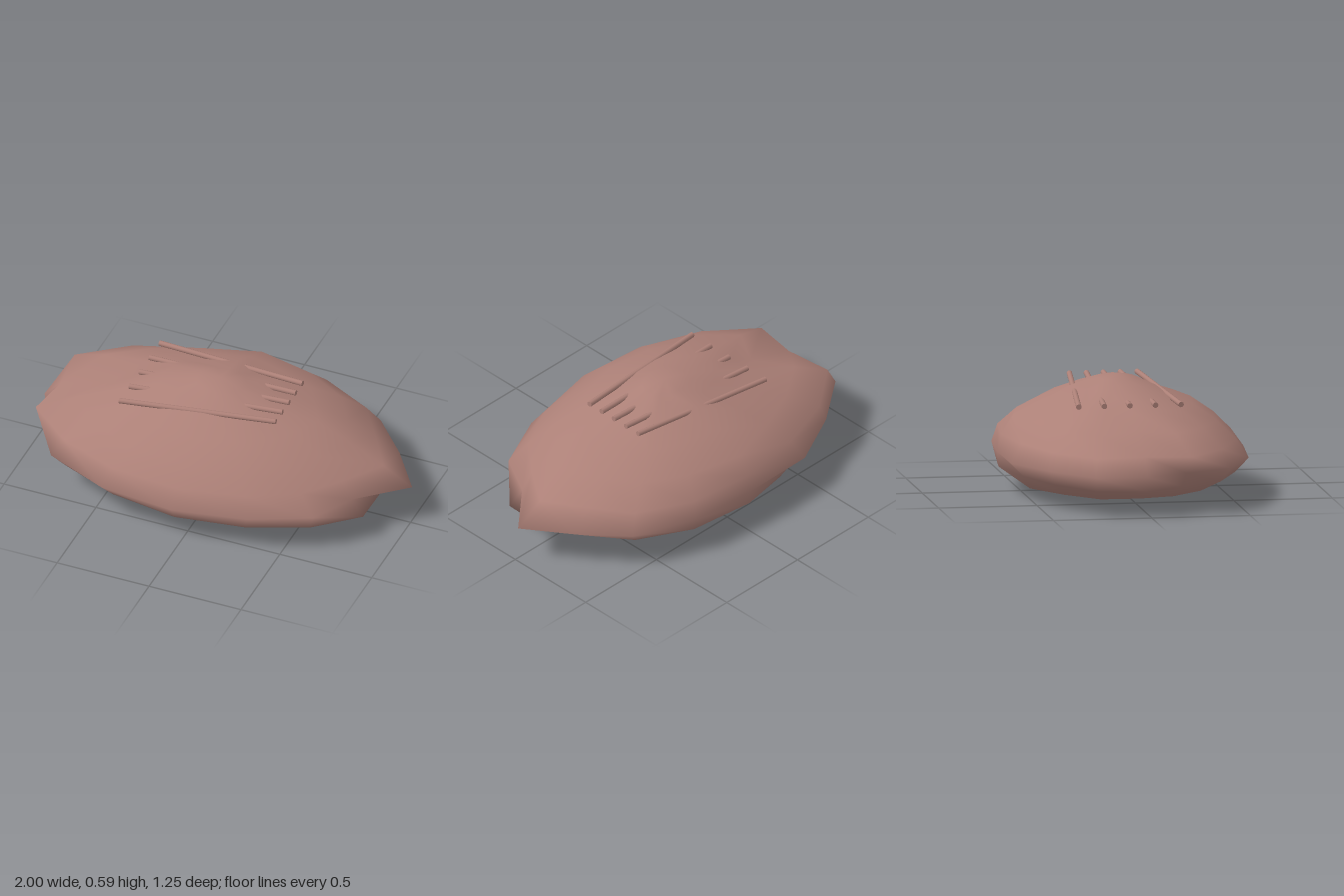
import * as THREE from 'three';

const stone = new THREE.MeshStandardMaterial({ color: 0xac8077 });
stone.name = 'dusty rose';

const POLE = [-0.04, -0.02];

// Widest outline seen from above, counterclockwise from the +x tip (x, z)
const OUTLINE = [
  [1, -0.02], [0.83, -0.26], [0.64, -0.47], [0.32, -0.595],
  [-0.04, -0.625], [-0.43, -0.62], [-0.73, -0.47], [-0.985, -0.28],
  [-1, -0.02], [-0.95, 0.21], [-0.77, 0.44], [-0.44, 0.585],
  [-0.04, 0.625], [0.34, 0.55], [0.64, 0.41], [0.83, 0.21],
];

// Rings from top to bottom: height, then share of the outline toward +x, -z, -x, +z
const RINGS = [
  [0.576, 0.14, 0.16, 0.13, 0.16],
  [0.535, 0.24, 0.41, 0.33, 0.29],
  [0.47, 0.51, 0.61, 0.52, 0.58],
  [0.39, 0.68, 0.87, 0.74, 0.76],
  [0.30, 0.85, 0.97, 0.95, 0.9],
  [0.21, 1, 1, 1, 1],
  [0.135, 0.84, 0.99, 0.99, 0.93],
  [0.07, 0.58, 0.83, 0.77, 0.7],
  [0.02, 0.28, 0.45, 0.28, 0.43],
];

// Local dents and bulges: outline point, then [ring, share] pairs
const DENTS = {
  2: [[3, 0.75]],
  3: [[1, 0.28], [2, 0.56], [3, 0.8]],
  5: [[1, 0.28], [2, 0.52], [3, 0.73], [4, 0.9], [6, 0.88]],
  6: [[1, 0.3], [2, 0.48], [3, 0.75], [6, 0.93]],
  7: [[1, 0.3], [2, 0.49], [6, 0.95]],
  8: [[2, 0.49], [3, 0.63], [4, 0.91]],
  9: [[3, 0.78], [4, 1], [5, 0.93], [6, 0.87]],
  10: [[6, 0.91]],
  11: [[6, 0.9]],
  13: [[6, 0.95]],
  14: [[6, 0.97]],
  15: [[5, 0.92], [6, 1]],
};

// Lopsided pebble-like body lofted through the rings
function makeBody() {
  const n = OUTLINE.length;
  const positions = [POLE[0], 0.597, POLE[1]];
  const index = [];
  RINGS.forEach(([y, ...share], r) => {
    OUTLINE.forEach(([x, z], i) => {
      const q = Math.floor(i / 4);
      const t = Math.sin(((i % 4) / 4) * Math.PI / 2) ** 2;
      const dent = (DENTS[i] || []).find(([ring]) => ring === r);
      const s = dent ? dent[1] : THREE.MathUtils.lerp(share[q], share[(q + 1) % 4], t);
      positions.push(POLE[0] + (x - POLE[0]) * s, y, POLE[1] + (z - POLE[1]) * s);
    });
  });
  positions.push(POLE[0], 0.004, POLE[1]);
  const last = positions.length / 3 - 1;
  const at = (r, i) => 1 + r * n + (i % n);
  for (let i = 0; i < n; i++) {
    index.push(0, at(0, i), at(0, i + 1));
    for (let r = 0; r < RINGS.length - 1; r++) {
      index.push(at(r, i), at(r + 1, i), at(r + 1, i + 1));
      index.push(at(r, i), at(r + 1, i + 1), at(r, i + 1));
    }
    index.push(at(RINGS.length - 1, i), last, at(RINGS.length - 1, i + 1));
  }
  const g = new THREE.BufferGeometry();
  g.setAttribute('position', new THREE.Float32BufferAttribute(positions, 3));
  g.setIndex(index);
  g.computeVertexNormals();
  return new THREE.Mesh(g, stone);
}

// Straight round rod between two points
function makeRod(a, b) {
  const dir = b.clone().sub(a);
  const rod = new THREE.Mesh(new THREE.CylinderGeometry(0.014, 0.014, dir.length(), 10), stone);
  rod.position.copy(a).add(b).multiplyScalar(0.5);
  rod.quaternion.setFromUnitVectors(new THREE.Vector3(0, 1, 0), dir.normalize());
  return rod;
}

export function createModel() {
  const model = new THREE.Group();
  model.name = 'ridgedShell';

  const body = makeBody();
  body.name = 'body';
  model.add(body);

  // Five rods half sunk in the top, fanning out toward -x
  const rods = new THREE.Group();
  rods.name = 'topRods';
  for (let k = -2; k <= 2; k++) {
    const rod = makeRod(
      new THREE.Vector3(-0.485, 0.495, -0.025 + k * 0.13),
      new THREE.Vector3(0.33, 0.542, -0.025 + k * 0.086),
    );
    rod.name = 'rod' + (k + 3);
    rods.add(rod);
  }
  model.add(rods);
  return model;
}
